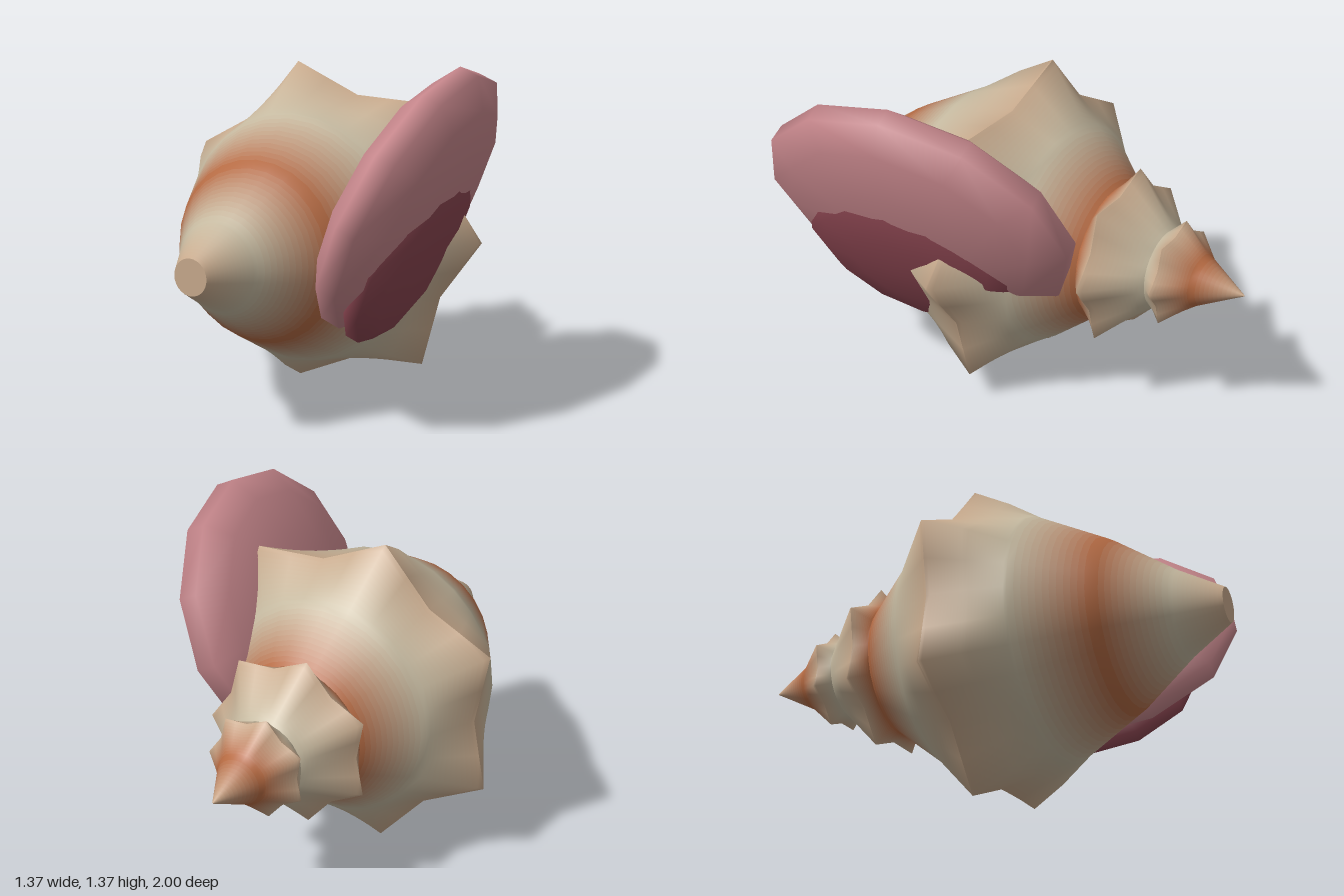
import * as THREE from 'three';

const AXIS = { x: -0.07, y: 0.665 };
const SPINES = 7, SIDES = 28, STEPS = 12;
const TAN = 0xc6a88b, SAND = 0xc7b297, BEIGE = 0xc4b9a0, ORANGE = 0xb4663c;

// Distance from the axis: valley/tip ratio 1 gives a circle, less gives a star with straight edges
function ringPoint(i, r, ratio) {
  const a = (i / SIDES) * Math.PI * 2;
  if (ratio === 1) return [r * Math.cos(a), r * Math.sin(a)];
  const half = SIDES / (SPINES * 2);
  const k = Math.floor(i / half), t = i / half - k;
  const corner = (n) => {
    const q = (n * Math.PI) / SPINES, s = n % 2 ? r * ratio : r;
    return [s * Math.cos(q), s * Math.sin(q)];
  };
  const p = corner(k), q = corner(k + 1);
  return [p[0] + (q[0] - p[0]) * t, p[1] + (q[1] - p[1]) * t];
}

// One smooth whorl between sharp ridges; each thin strip takes a blended colour
function whorl(rings, name) {
  const pos = [], index = [], materials = [];
  const geo = new THREE.BufferGeometry();
  const row = (A, B, t) => {
    for (let i = 0; i < SIDES; i++) {
      const p = ringPoint(i, A.r, A.star), q = ringPoint(i, B.r, B.star);
      pos.push(AXIS.x + p[0] + (q[0] - p[0]) * t, AXIS.y + p[1] + (q[1] - p[1]) * t, A.z + (B.z - A.z) * t);
    }
  };
  row(rings[0], rings[0], 0);
  let j = 0;
  for (let k = 0; k < rings.length - 1; k++) {
    const A = rings[k], B = rings[k + 1];
    for (let s = 1; s <= STEPS; s++, j++) {
      row(A, B, s / STEPS);
      geo.addGroup(index.length, SIDES * 6, materials.length);
      for (let i = 0; i < SIDES; i++) {
        const n = (i + 1) % SIDES;
        const a = j * SIDES + i, b = j * SIDES + n, c = a + SIDES, d = b + SIDES;
        index.push(a, c, d, a, d, b);
      }
      const color = new THREE.Color(A.color).lerp(new THREE.Color(B.color), (s - 0.5) / STEPS);
      materials.push(new THREE.MeshStandardMaterial({ color }));
    }
  }
  geo.setAttribute('position', new THREE.Float32BufferAttribute(pos, 3));
  geo.setIndex(index);
  geo.computeVertexNormals();
  const mesh = new THREE.Mesh(geo, materials);
  mesh.name = name;
  return mesh;
}

// Flattened ball lying in the tilted plane of the shell opening
function tiltedDisc(name, color, center, length, thickness, height) {
  const geo = new THREE.SphereGeometry(1, 12, 7);
  geo.scale(length, thickness, height);
  const along = new THREE.Vector3(0.13, 0, 1).normalize();
  const up = new THREE.Vector3(0.46, 1, 0);
  const normal = new THREE.Vector3().crossVectors(up, along).normalize();
  const side = new THREE.Vector3().crossVectors(along, normal);
  geo.applyMatrix4(new THREE.Matrix4().makeBasis(along, normal, side));
  const mesh = new THREE.Mesh(geo, new THREE.MeshStandardMaterial({ color }));
  mesh.position.set(...center);
  mesh.name = name;
  return mesh;
}

export function createModel() {
  const shell = new THREE.Group();
  shell.name = 'seaShell';

  const ring = (z, r, color, star = 1) => ({ z, r, color, star });
  const shoulder = ring(0, 0.68, TAN, 0.82);
  const neck1 = ring(-0.41, 0.275, ORANGE);
  const crown1 = ring(-0.47, 0.358, TAN, 0.82);
  const neck2 = ring(-0.65, 0.16, BEIGE);
  const crown2 = ring(-0.705, 0.213, TAN, 0.82);

  // Body and spire, front to back
  shell.add(
    whorl([
      ring(1, 0.07, TAN), ring(0.82, 0.175, BEIGE), ring(0.58, 0.345, ORANGE),
      ring(0.3, 0.495, BEIGE), ring(0.15, 0.597, SAND, 0.885), shoulder
    ], 'bodyFront'),
    whorl([shoulder, ring(-0.2, 0.45, BEIGE), neck1], 'bodyBack'),
    whorl([neck1, crown1], 'lowerCrownStep'),
    whorl([crown1, neck2], 'lowerSpire'),
    whorl([neck2, crown2], 'upperCrownStep'),
    whorl([crown2, ring(-0.82, 0.1, ORANGE), ring(-1, 0.002, TAN)], 'spireTip')
  );

  // Flat front end
  const cap = new THREE.Mesh(new THREE.CircleGeometry(0.07, SIDES), new THREE.MeshStandardMaterial({ color: TAN }));
  cap.position.set(AXIS.x, AXIS.y, 1);
  cap.name = 'frontCap';
  shell.add(cap);

  // Flared lip and dark opening
  shell.add(
    tiltedDisc('lip', 0xc4858a, [0.4, 0.86, 0.2], 0.685, 0.178, 0.56),
    tiltedDisc('opening', 0x8a4550, [0.412, 0.67, 0.23], 0.48, 0.123, 0.41)
  );
  return shell;
}
